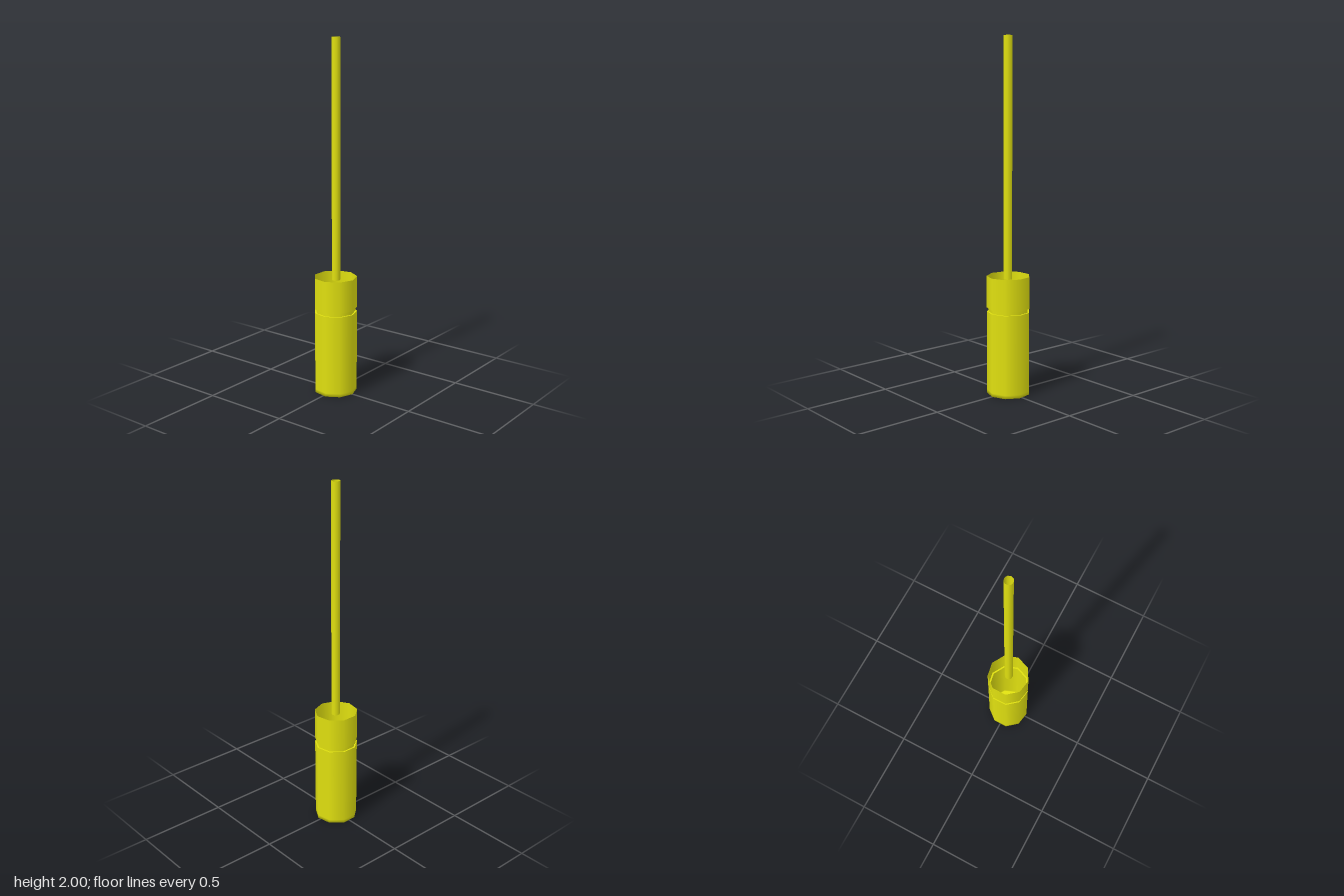
import * as THREE from 'three';

const SIDES = 9;
const R = 0.1225;       // body radius
const GROOVE_R = 0.113; // radius inside the groove
const ROD_R = 0.0245;

export function createModel() {
  const group = new THREE.Group();
  const material = new THREE.MeshStandardMaterial({ color: 0xe0e010, side: THREE.DoubleSide });

  // Nine-sided turned part with one corner on +x
  const turned = (name, profile) => {
    const points = profile.map(([r, y]) => new THREE.Vector2(r, y));
    const mesh = new THREE.Mesh(new THREE.LatheGeometry(points, SIDES, Math.PI / 2), material);
    mesh.name = name;
    // an odd-sided prism is off-centre in x
    mesh.position.x = -0.0037;
    group.add(mesh);
    return mesh;
  };

  // Lower body with a softly shaded closed bottom
  turned('lowerBody', [[0, 0], [R, 0], [R, 0.02], [R, 0.474]]);

  // Groove between the lower body and the collar, with sharp edges
  turned('grooveLowerLedge', [[R, 0.474], [GROOVE_R, 0.474]]);
  turned('grooveWall', [[GROOVE_R, 0.474], [GROOVE_R, 0.496]]);
  turned('grooveUpperLedge', [[GROOVE_R, 0.496], [R, 0.496]]);

  // Collar, open at the top
  turned('collar', [[R, 0.496], [R, 0.677]]);

  // Hollow rod, starting just inside the collar
  turned('rod', [[ROD_R, 0.659], [ROD_R, 2]]).position.x = 0;

  return group;
}
